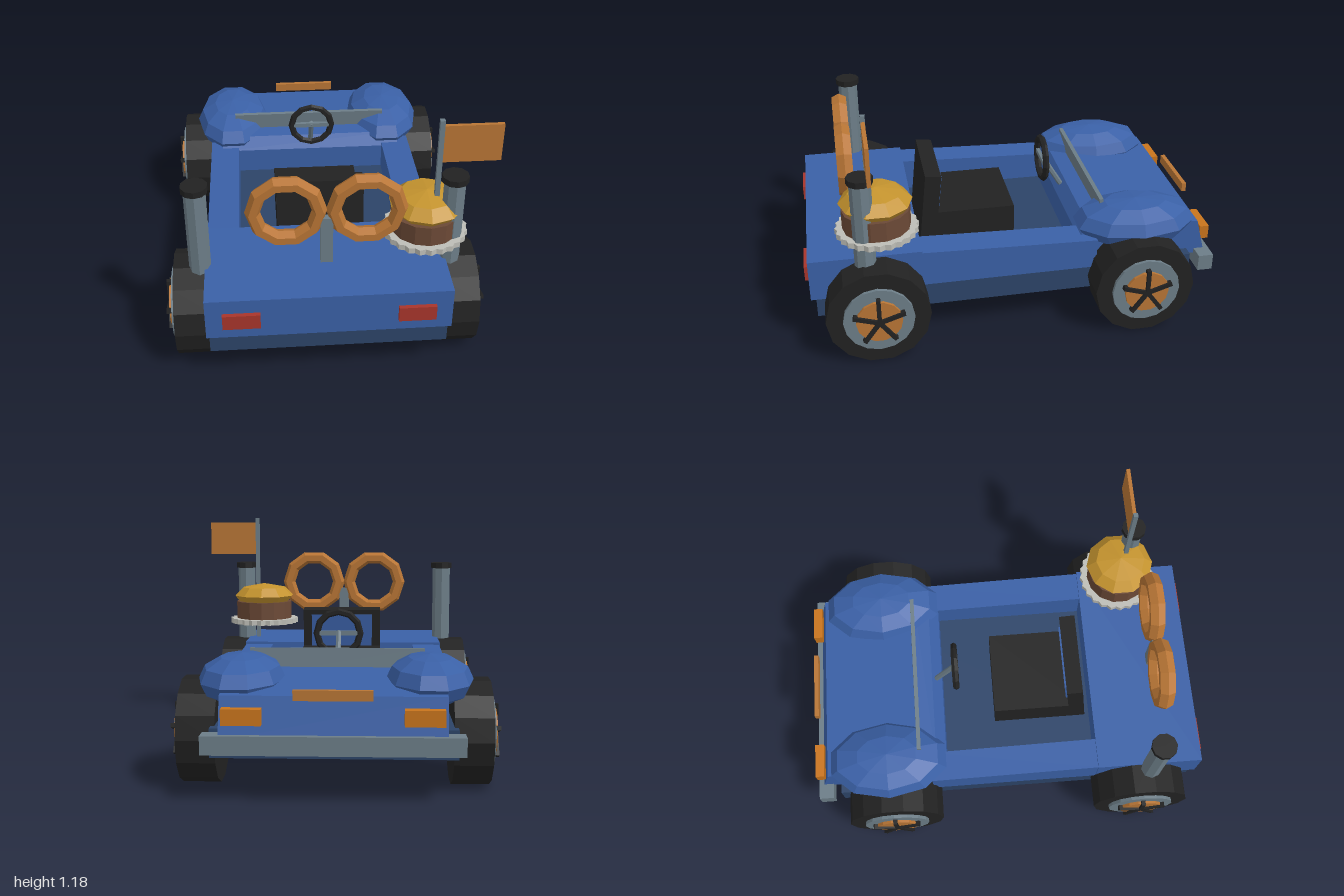
import * as THREE from 'three';

const mat = (name, color) => {
  const m = new THREE.MeshStandardMaterial({ color, flatShading: true });
  m.name = name;
  return m;
};

export function createModel() {
  const M = {
    blue: mat('body blue', 0x3a60a6),
    navy: mat('navy', 0x2c4468),
    black: mat('black', 0x222222),
    steel: mat('steel', 0x6c7d87),
    copper: mat('copper', 0xb87535),
    amber: mat('amber', 0xc8741c),
    red: mat('red', 0xa8352b),
    plate: mat('pale plate', 0xbdbdb6),
    brown: mat('brown', 0x6b4936),
    gold: mat('gold', 0xc4932e),
  };
  const model = new THREE.Group();
  const car = new THREE.Group();
  car.name = 'car';
  car.position.x = -0.018; // the flag overhangs one side
  model.add(car);

  const add = (name, geo, m, x = 0, y = 0, z = 0, parent = car) => {
    const mesh = new THREE.Mesh(geo, m);
    mesh.name = name;
    mesh.position.set(x, y, z);
    parent.add(mesh);
    return mesh;
  };
  // box from its limits on each axis
  const box = (name, m, x0, x1, y0, y1, z0, z1, parent = car) =>
    add(name, new THREE.BoxGeometry(x1 - x0, y1 - y0, z1 - z0), m,
      (x0 + x1) / 2, (y0 + y1) / 2, (z0 + z1) / 2, parent);
  const cyl = (name, m, r, y0, y1, x, z, sides, parent = car) =>
    add(name, new THREE.CylinderGeometry(r, r, y1 - y0, sides), m, x, (y0 + y1) / 2, z, parent);
  // side profile of [z, y] points extruded across x
  const profile = (name, m, pts, x0, x1) => {
    const shape = new THREE.Shape(pts.map(([z, y]) => new THREE.Vector2(z, y)));
    const geo = new THREE.ExtrudeGeometry(shape, { depth: x1 - x0, bevelEnabled: false });
    geo.rotateY(-Math.PI / 2);
    return add(name, geo, m, x1, 0, 0);
  };

  // hull, rear deck, nose and side rails
  box('hull', M.navy, -0.538, 0.538, 0.18, 0.31, -0.885, 0.955);
  box('rearDeck', M.blue, -0.55, 0.55, 0.283, 0.49, 0.45, 0.98);
  profile('nose', M.blue, [[-0.32, 0.3], [-0.32, 0.44], [-0.37, 0.5], [-0.45, 0.51],
    [-0.93, 0.465], [-0.98, 0.28], [-0.87, 0.28]], -0.485, 0.485);
  for (const s of [-1, 1]) {
    const a = s < 0 ? -0.545 : 0.395;
    profile('sideRail', M.blue, [[0.46, 0.3], [0.46, 0.478], [-0.4, 0.45], [-0.4, 0.3]], a, a + 0.15);

    // domed front fender
    const fender = add('frontFender', new THREE.SphereGeometry(1, 10, 6), M.blue, s * 0.425, 0.485, -0.615);
    fender.scale.set(0.198, 0.115, 0.308);

    // lamps
    box('headlight', M.amber, s * 0.385 - 0.085, s * 0.385 + 0.085, 0.35, 0.42, -1, -0.955);
    box('tailLight', M.red, s * 0.39 - 0.084, s * 0.39 + 0.084, 0.345, 0.42, 0.975, 1);

    // upright exhausts
    cyl('exhaustPipe', M.steel, 0.05, 0.45, 0.9, s * 0.572, 0.715, 8);
    cyl('exhaustCap', M.black, 0.061, 0.895, 0.925, s * 0.572, 0.715, 10);

    // ring ornament on the deck
    const ring = add('ornamentRing', new THREE.TorusGeometry(0.147, 0.035, 6, 10), M.copper, s * 0.178, 0.808, 0.77);
    ring.scale.z = 1.2;
  }
  box('ornamentPost', M.steel, -0.028, 0.028, 0.53, 0.77, 0.755, 0.79);
  box('frontBumper', M.steel, -0.56, 0.56, 0.222, 0.305, -1, -0.925);
  box('nosePlate', M.copper, -0.168, 0.168, 0.455, 0.5, -0.987, -0.965);

  // low windscreen
  const screen = box('windscreen', M.steel, -0.41, 0.41, 0.46, 0.597, -0.466, -0.446);
  screen.rotation.x = 0.08;

  // seat
  box('seatCushion', M.black, -0.21, 0.21, 0.31, 0.49, -0.055, 0.4);
  const back = new THREE.Group();
  back.name = 'seatBack';
  back.position.set(0, 0.31, 0.385);
  back.rotation.x = -0.1;
  car.add(back);
  box('backrest', M.black, -0.21, 0.21, 0, 0.385, -0.037, 0.043, back);
  box('backrestInset', M.blue, -0.165, 0.165, 0.18, 0.36, -0.046, -0.036, back);

  // steering wheel and column
  add('steeringWheel', new THREE.TorusGeometry(0.106, 0.017, 6, 12), M.black, 0, 0.638, -0.243);
  box('steeringSpoke', M.steel, -0.1, 0.1, 0.627, 0.649, -0.252, -0.234);
  const column = add('steeringColumn', new THREE.CylinderGeometry(0.014, 0.014, 0.2, 6), M.steel, 0, 0.562, -0.295);
  column.rotation.x = 0.55;

  // wheels
  for (const s of [-1, 1]) for (const z of [-0.605, 0.675]) {
    const wheel = new THREE.Group();
    wheel.name = z < 0 ? 'frontWheel' : 'rearWheel';
    wheel.position.set(s * 0.608, 0.245, z);
    if (s < 0) wheel.rotation.y = Math.PI;
    car.add(wheel);
    const disc = (name, m, r, x0, x1, sides) => {
      const geo = new THREE.CylinderGeometry(r, r, x1 - x0, sides).rotateZ(-Math.PI / 2);
      add(name, geo, m, (x0 + x1) / 2, 0, 0, wheel);
    };
    disc('tyre', M.black, 0.244, -0.086, 0.087, 14);
    disc('rim', M.steel, 0.166, 0.08, 0.103, 16);
    disc('hub', M.copper, 0.108, 0.1, 0.117, 14);
    for (let i = 0; i < 5; i++) {
      const geo = new THREE.BoxGeometry(0.026, 0.125, 0.02).translate(0, 0.0625, 0);
      const spoke = add('spoke', geo, M.black, 0.116, 0, 0, wheel);
      spoke.rotation.x = i * Math.PI * 2 / 5;
    }
  }

  // cake on a plate with a scalloped edge
  const cake = new THREE.Group();
  cake.name = 'cake';
  cake.position.set(0.463, 0, 0.648);
  car.add(cake);
  const edge = new THREE.Shape();
  for (let i = 0; i < 48; i++) {
    const a = i * Math.PI / 24, r = i % 2 ? 0.184 : 0.196;
    edge[i ? 'lineTo' : 'moveTo'](r * Math.cos(a), r * Math.sin(a));
  }
  const plateGeo = new THREE.ExtrudeGeometry(edge, { depth: 0.028, bevelEnabled: false }).rotateX(-Math.PI / 2);
  add('cakePlate', plateGeo, M.plate, 0, 0.58, 0, cake);
  cyl('cakeBase', M.brown, 0.16, 0.606, 0.705, 0, 0, 14, cake);
  const top = [[0, 0.7], [0.14, 0.7], [0.172, 0.738], [0.125, 0.785], [0, 0.808]];
  add('cakeTop', new THREE.LatheGeometry(top.map(([r, y]) => new THREE.Vector2(r, y)), 10), M.gold, 0, 0, 0, cake);

  // flag and pole
  box('flagPole', M.steel, 0.491, 0.513, 0.49, 1.185, 0.669, 0.691);
  box('flag', M.copper, 0.51, 0.773, 0.975, 1.158, 0.671, 0.689);

  return model;
}
